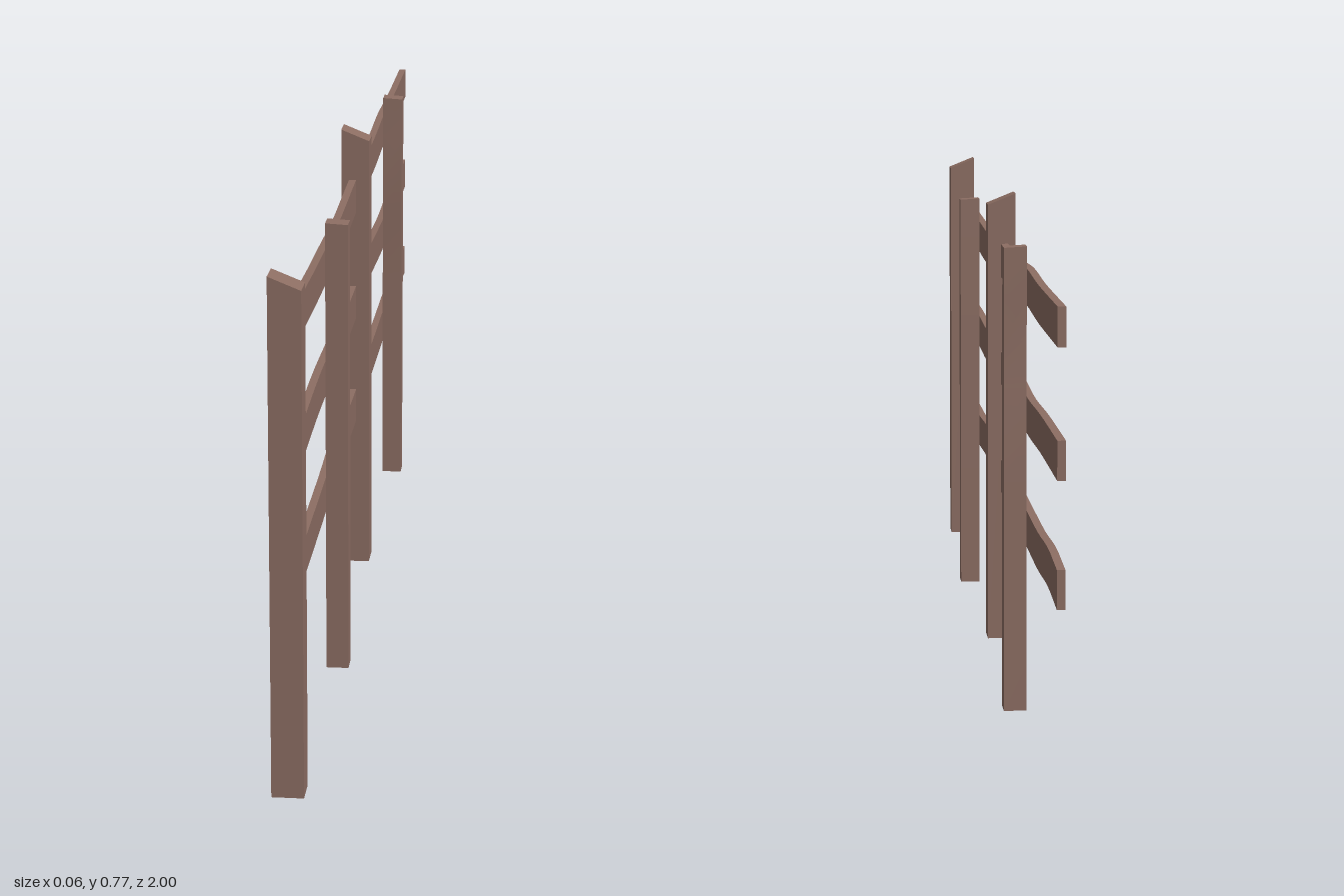
import * as THREE from 'three';

const wood = new THREE.MeshStandardMaterial({ color: 0x8d6e63 });
wood.name = 'brown wood';

// Box spanning x0..x1, y0..y1, z0..z1, with its vertices moved by a rule
function shapedBox(name, [x0, x1], [y0, y1], [z0, z1], segments, rule) {
  const geo = new THREE.BoxGeometry(x1 - x0, y1 - y0, z1 - z0, ...segments);
  geo.translate((x0 + x1) / 2, (y0 + y1) / 2, (z0 + z1) / 2);
  const p = geo.attributes.position;
  const v = new THREE.Vector3();
  for (let i = 0; i < p.count; i++) {
    v.fromBufferAttribute(p, i);
    rule(v);
    p.setXYZ(i, v.x, v.y, v.z);
  }
  geo.computeVertexNormals();
  const mesh = new THREE.Mesh(geo, wood);
  mesh.name = name;
  return mesh;
}

export function createModel() {
  const group = new THREE.Group();
  group.name = 'fence';

  // Main posts, tops sloping down toward +x
  for (const z of [0.977, -0.008]) {
    group.add(shapedBox('mainPost', [-0.031, 0.016], [0.003, 0.769], [z - 0.023, z + 0.023], [1, 1, 1], v => {
      if (v.y > 0.5 && v.x > 0) v.y = 0.75;
    }));
  }

  // Thin support posts on the +x side, the rear one slightly warped
  for (const [z, warp] of [[0.483, 0], [-0.511, 0.003]]) {
    group.add(shapedBox('supportPost', [-0.006, 0.029], [0, 0.724], [z - 0.0165, z + 0.0165], [1, 10, 1], v => {
      v.z += warp * Math.exp(-(((v.y - 0.57) / 0.08) ** 2));
      if (v.y > 0.72 && v.x > 0) v.y -= 0.002;
    }));
  }

  // Rails: centre height, z range, and bends as [z, height, width]
  const near = [0, 0.965], far = [-1, -0.02];
  const rails = [
    [0.656, near, [[0.79, 0.007, 0.14], [0.28, -0.007, 0.18]]],
    [0.656, far, [[-0.52, 0.006, 0.13]]],
    [0.471, near, [[0.58, 0.008, 0.2]]],
    [0.471, far, [[-0.2, 0.008, 0.14], [-0.55, -0.006, 0.14]]],
    [0.288, near, [[0.28, 0.009, 0.14]]],
    [0.288, far, [[-0.87, 0.008, 0.11]]],
  ];
  for (const [y, span, bends] of rails) {
    group.add(shapedBox('rail', [-0.018, -0.006], [y - 0.028, y + 0.028], span, [1, 1, 20], v => {
      for (const [z, h, w] of bends) v.y += h * Math.exp(-(((v.z - z) / w) ** 2));
    }));
  }
  return group;
}
